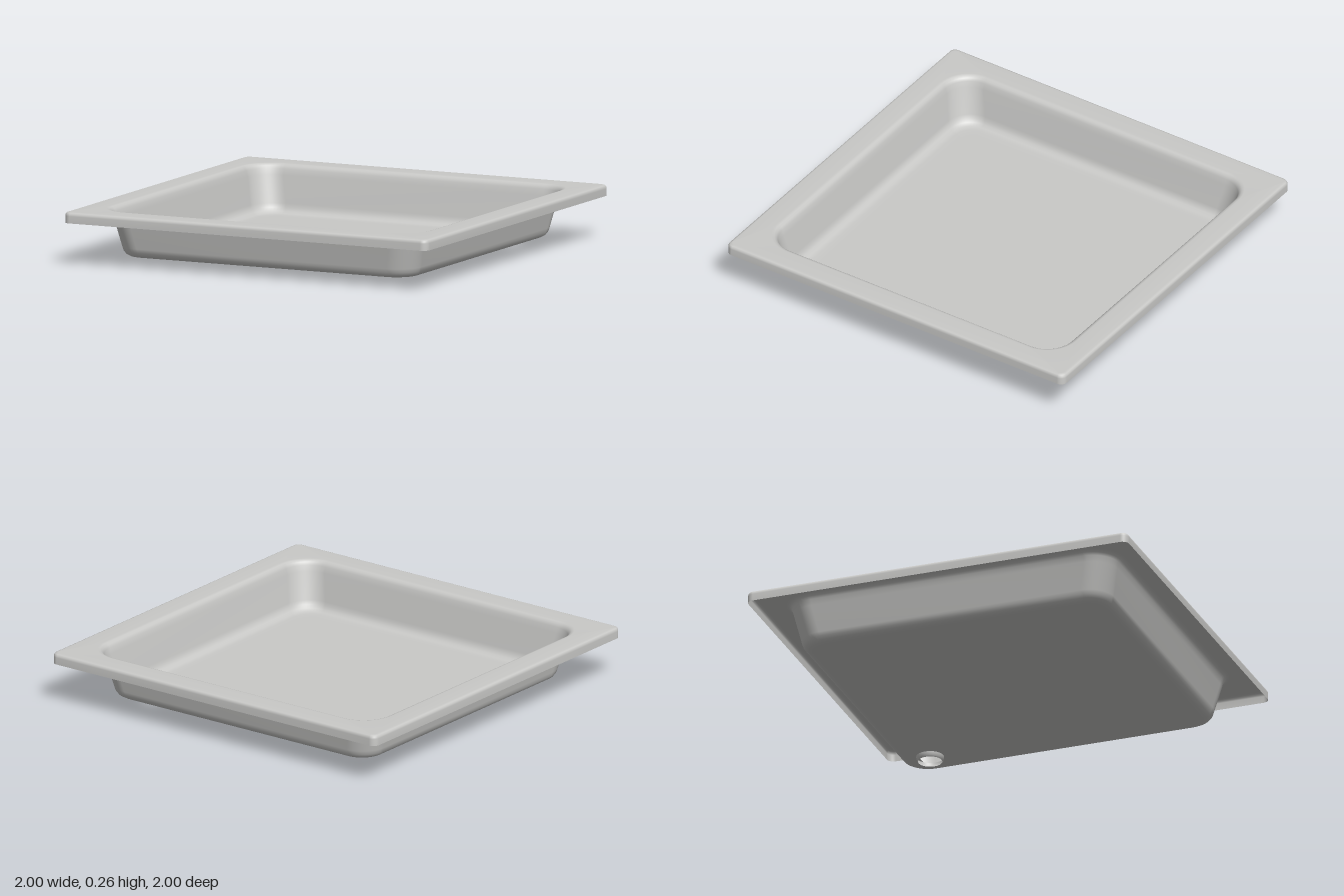
import * as THREE from 'three';

const CORNER_STEPS = 12;
const FLOOR_Y = 0.025;
const FLOOR_HALF = 0.71, FLOOR_RADIUS = 0.05;
const DRAIN = { x: 0.64, z: -0.65, radius: 0.095 };

// Points of a rounded square, as [x, z], turning from +x towards +z
function roundedSquare(half, radius) {
  const points = [], c = half - radius;
  [[1, 1], [-1, 1], [-1, -1], [1, -1]].forEach(([sx, sz], k) => {
    for (let i = 0; i <= CORNER_STEPS; i++) {
      const a = (k + i / CORNER_STEPS) * Math.PI / 2;
      points.push([sx * c + radius * Math.cos(a), sz * c + radius * Math.sin(a)]);
    }
  });
  return points;
}

// Skin through rounded-square sections [half width, corner radius, y], outside to inside
function loftSquares(sections) {
  const positions = [], index = [], n = 4 * (CORNER_STEPS + 1);
  for (const [half, radius, y] of sections)
    for (const [x, z] of roundedSquare(half, radius)) positions.push(x, y, z);
  for (let s = 0; s < sections.length - 1; s++)
    for (let j = 0; j < n; j++) {
      const a = s * n + j, b = s * n + (j + 1) % n;
      index.push(a, a + n, b, b, a + n, b + n);
    }
  const geometry = new THREE.BufferGeometry();
  geometry.setAttribute('position', new THREE.Float32BufferAttribute(positions, 3));
  geometry.setIndex(index);
  geometry.computeVertexNormals();
  return geometry;
}

export function createModel() {
  const group = new THREE.Group();
  group.name = 'showerTray';
  const enamel = new THREE.MeshStandardMaterial({ color: 0xc9c9c7, side: THREE.DoubleSide });
  enamel.name = 'light grey enamel';
  const add = (name, geometry) => {
    const mesh = new THREE.Mesh(geometry, enamel);
    mesh.name = name;
    group.add(mesh);
    return mesh;
  };

  // Hanging lip, flat flange and sloping basin wall in one thin sheet
  add('rimAndWalls', loftSquares([
    [1.0, 0.035, 0.21],
    [1.0, 0.035, 0.245],
    [0.998, 0.033, 0.254],
    [0.993, 0.028, 0.261],
    [0.982, 0.025, 0.265],
    [0.885, 0.17, 0.265],
    [0.872, 0.157, 0.262],
    [0.861, 0.146, 0.254],
    [0.853, 0.138, 0.24],
    [0.845, 0.13, 0.21],
    [0.816, 0.13, 0.075],
    [0.81, 0.125, 0.055],
    [0.799, 0.118, 0.039],
    [0.783, 0.108, 0.029],
    [0.76, 0.09, FLOOR_Y],
    [FLOOR_HALF, FLOOR_RADIUS, FLOOR_Y],
  ]));

  // Flat floor, open at the drain; the drain dish overlaps the corner of the flat
  const outline = roundedSquare(FLOOR_HALF, FLOOR_RADIUS).map(([x, z]) => new THREE.Vector2(x, -z));
  const floorShape = new THREE.Shape(outline.reverse());
  const hole = new THREE.Path();
  hole.absarc(DRAIN.x, -DRAIN.z, 0.069, 0, Math.PI * 2, true);
  floorShape.holes.push(hole);
  const floor = new THREE.ShapeGeometry(floorShape, 24);
  floor.rotateX(-Math.PI / 2);
  floor.translate(0, FLOOR_Y, 0);
  add('floor', floor);

  // Dished drain ring sinking below the floor
  const profile = [[0.069, FLOOR_Y], [0.068, 0.018], [0.065, 0.006], [0.06, 0]];
  const drain = add('drain', new THREE.LatheGeometry(
    profile.map(([r, y]) => new THREE.Vector2(r, y)), 48));
  drain.position.set(DRAIN.x, 0, DRAIN.z);
  return group;
}
